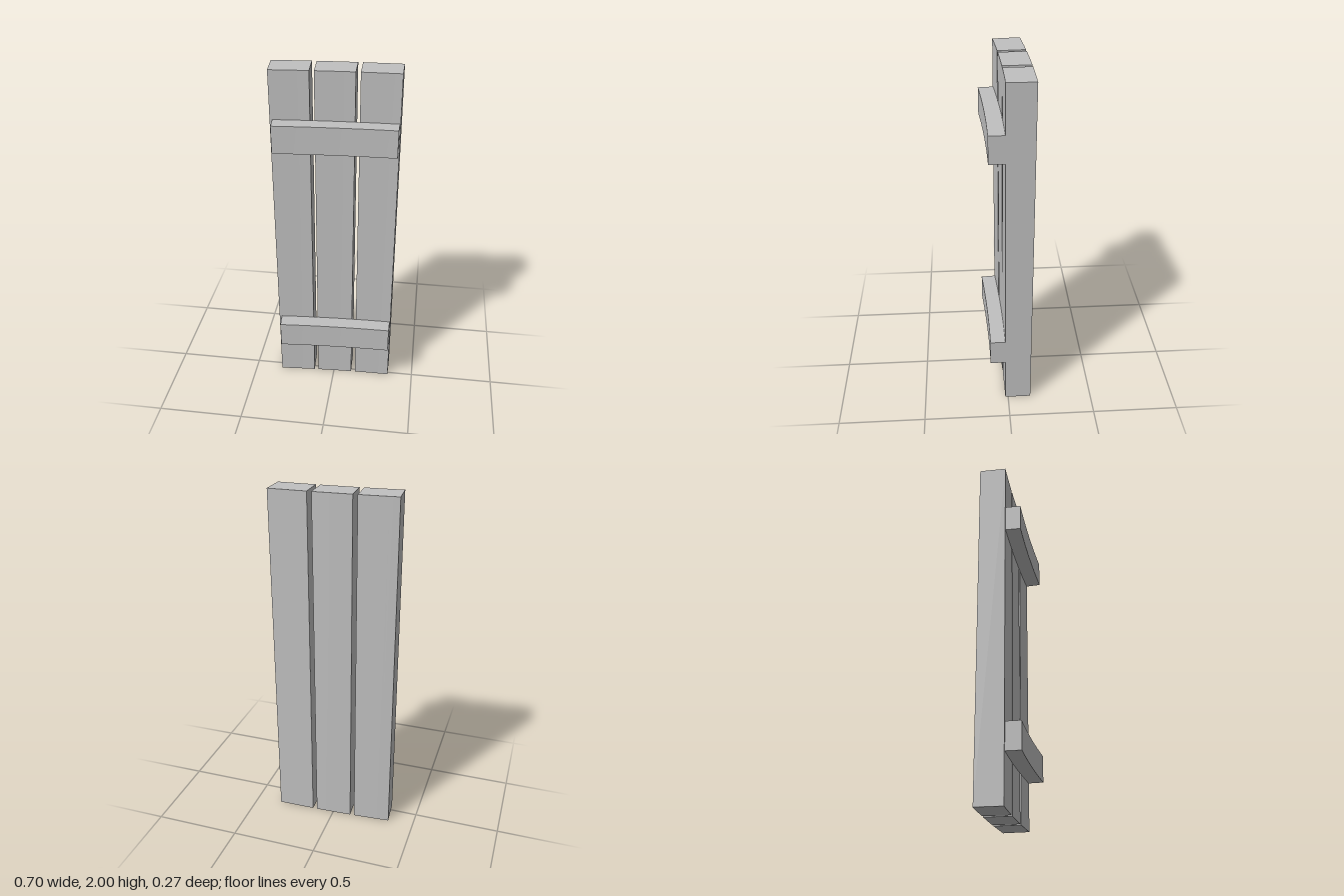
import * as THREE from 'three';

export function createModel() {
  const group = new THREE.Group();
  const material = new THREE.MeshStandardMaterial({ color: 0xc0c0c0 });
  material.name = 'plain grey';

  // Everything follows one gentle arc about a vertical axis in front
  const RADIUS = 8.1, AXIS_X = 0.347, AXIS_Z = 7.965;

  // Box between two arc angles, two heights and two depths, bent along the arc
  function bentBoard(name, a0, a1, y0, y1, d0, d1, segments) {
    const geometry = new THREE.BoxGeometry(a1 - a0, y1 - y0, d1 - d0, segments, 1, 1);
    geometry.translate(-(a0 + a1) / 2, (y0 + y1) / 2, (d0 + d1) / 2);
    const p = geometry.attributes.position;
    for (let i = 0; i < p.count; i++) {
      const angle = -p.getX(i), r = RADIUS - p.getZ(i);
      p.setXYZ(i, AXIS_X - r * Math.sin(angle), p.getY(i), AXIS_Z - r * Math.cos(angle));
    }
    geometry.computeVertexNormals();
    const mesh = new THREE.Mesh(geometry, material);
    mesh.name = name;
    group.add(mesh);
  }

  // Three upright planks with narrow gaps
  ['leftPlank', 'middlePlank', 'rightPlank'].forEach((name, i) => {
    const start = i * 0.0297;
    bentBoard(name, start, start + 0.0266, 0, 2, 0, 0.152, 4);
  });

  // Two cross battens on the front
  bentBoard('lowerBatten', 0.0005, 0.0842, 0.275, 0.43, 0.152, 0.238, 12);
  bentBoard('upperBatten', 0.0005, 0.0842, 1.577, 1.732, 0.152, 0.238, 12);

  return group;
}
